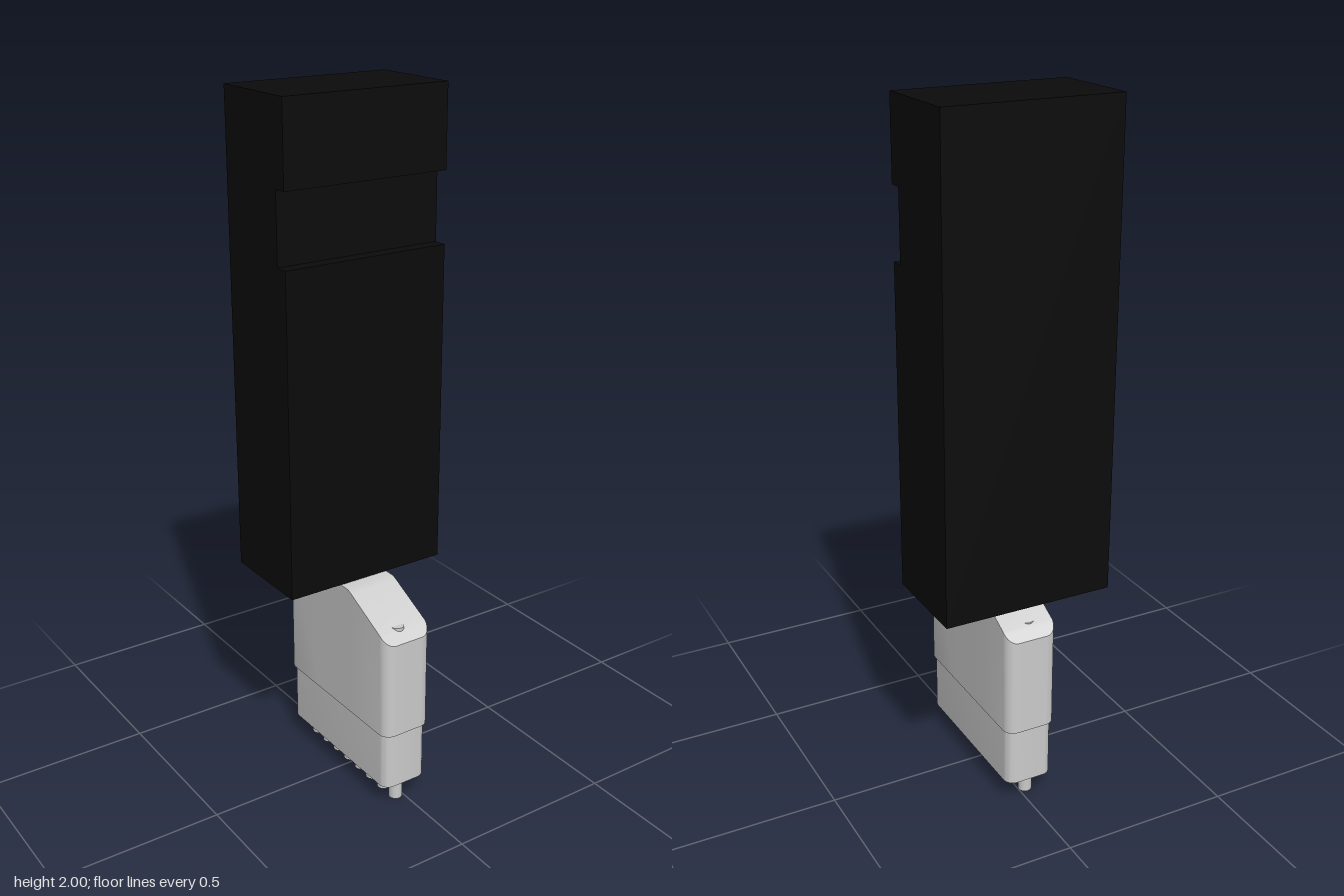
import * as THREE from 'three';
import { toCreasedNormals } from 'three/addons/utils/BufferGeometryUtils.js';

const grey = new THREE.MeshStandardMaterial({ color: 0xcccccc });
const black = new THREE.MeshStandardMaterial({ color: 0x0b0b0b });

// Block with a rounded-rectangle plan, lofted along z; topAt(z) gives its roof height.
function roundedBlock(halfW, halfL, r, bottom, topAt, extraZ = []) {
  const half = extraZ.slice();
  for (let i = 0; i <= 8; i++) half.push(halfL - r + r * Math.sin((i / 8) * Math.PI / 2));
  const zs = [...half.map(z => -z), ...half].sort((a, b) => a - b);
  const pos = [], idx = [];
  for (const z of zs) {
    const d = Math.max(0, Math.abs(z) - (halfL - r));
    const w = halfW - r + Math.sqrt(Math.max(0, r * r - d * d));
    const top = topAt(Math.abs(z));
    pos.push(-w, bottom, z, w, bottom, z, w, top, z, -w, top, z);
  }
  for (let s = 0; s < zs.length - 1; s++) {
    for (let k = 0; k < 4; k++) {
      const a = s * 4 + k, b = s * 4 + (k + 1) % 4;
      idx.push(a, b, b + 4, a, b + 4, a + 4);
    }
  }
  const e = (zs.length - 1) * 4;
  idx.push(0, 2, 1, 0, 3, 2, e, e + 1, e + 2, e, e + 2, e + 3);
  const geo = new THREE.BufferGeometry();
  geo.setAttribute('position', new THREE.Float32BufferAttribute(pos, 3));
  geo.setIndex(idx);
  return toCreasedNormals(geo, 0.4);
}

export function createModel() {
  const model = new THREE.Group();
  const add = (name, geo, mat, x = 0, y = 0, z = 0) => {
    const mesh = new THREE.Mesh(geo, mat);
    mesh.name = name;
    mesh.position.set(x, y, z);
    model.add(mesh);
  };

  // Tall case: side profile with a front notch, extruded across x
  const back = -0.252, front = 0.033, notch = -0.006;
  const profile = new THREE.Shape([
    [back, 0.635], [front, 0.635], [front, 1.57], [notch, 1.57],
    [notch, 1.77], [front, 1.77], [front, 2], [back, 2],
  ].map(([z, y]) => new THREE.Vector2(-z, y)));
  const caseGeo = new THREE.ExtrudeGeometry(profile, { depth: 0.504, bevelEnabled: false });
  caseGeo.translate(0, 0, -0.252).rotateY(Math.PI / 2);
  add('case', caseGeo, black);

  // Connector hood with sloping shoulders
  const roof = [[0, 0.635], [0.068, 0.635], [0.085, 0.628], [0.225, 0.56], [0.256, 0.532]];
  const roofAt = z => {
    let i = 1;
    while (i < roof.length - 1 && z > roof[i][0]) i++;
    const [z0, y0] = roof[i - 1], [z1, y1] = roof[i];
    return y0 + (y1 - y0) * (z - z0) / (z1 - z0);
  };
  add('connectorHood', roundedBlock(0.078, 0.256, 0.033, 0.24, roofAt, [0.068, 0.085]), grey, -0.012);

  // Slightly narrower connector base
  add('connectorBase', roundedBlock(0.072, 0.249, 0.03, 0.065, () => 0.245), grey, -0.012);

  // Row of pins running up through the connector, the end ones just breaking the shoulders
  const pinGeo = new THREE.CylinderGeometry(0.02, 0.02, 0.566, 24);
  for (let i = 0; i < 8; i++) add('pin' + (i + 1), pinGeo, grey, -0.021, 0.283, 0.21 - i * 0.0586);

  return model;
}
